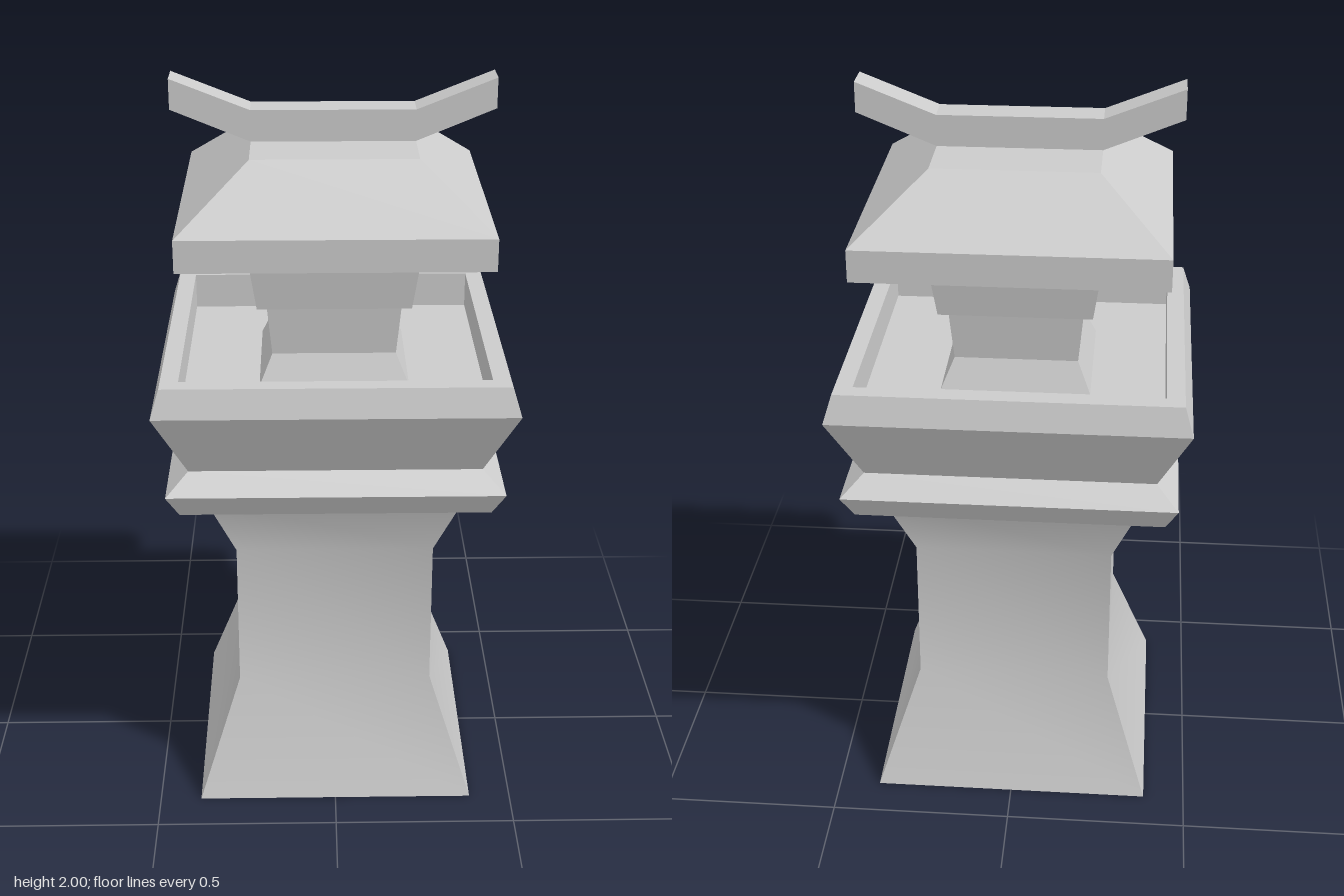
import * as THREE from 'three';
import { mergeGeometries } from 'three/addons/utils/BufferGeometryUtils.js';

const material = new THREE.MeshStandardMaterial({ color: 0xcccccc });

// Square tower section: profile is [half width, height] pairs, listed so that the outside goes bottom to top.
// Each of the four sides is its own strip, so corners stay sharp.
function squareTier(name, profile, smooth = false) {
  const points = profile.map(([half, y]) => new THREE.Vector2(half * Math.SQRT2, y));
  const sides = [];
  for (let i = 0; i < 4; i++) {
    const strip = new THREE.LatheGeometry(points, 1, Math.PI / 4 + i * Math.PI / 2, Math.PI / 2);
    const side = smooth ? strip : strip.toNonIndexed();
    side.computeVertexNormals();
    sides.push(side);
  }
  const mesh = new THREE.Mesh(mergeGeometries(sides), material);
  mesh.name = name;
  return mesh;
}

export function createModel() {
  const group = new THREE.Group();
  group.name = 'watchtower';

  // Shaft, softly shaded along its height, with a flat underside
  group.add(squareTier('shaft', [[0.385, 0], [0.27, 0.335], [0.27, 0.75], [0.345, 0.94]], true));
  group.add(squareTier('shaftBase', [[0, 0], [0.385, 0]]));

  // Ledge moulding and the hollow balcony with its parapet
  group.add(squareTier('balcony', [
    [0, 0.935], [0.41, 0.935], [0.443, 1.0], [0.385, 1.05],
    [0.47, 1.235], [0.447, 1.31], [0.4, 1.31], [0.4, 1.21], [0, 1.21],
  ]));

  // Neck with a flared foot, and the cabin above it
  group.add(squareTier('neck', [[0.2, 1.21], [0.165, 1.29], [0.178, 1.43]]));
  group.add(squareTier('cabin', [[0, 1.43], [0.203, 1.43], [0.228, 1.6]]));

  // Hipped roof with thick eaves
  group.add(squareTier('roof', [
    [0, 1.6], [0.4, 1.6], [0.4, 1.685], [0.215, 1.835], [0, 1.835],
  ]));

  // Ridge beam with upturned ends
  const outline = [
    [-0.21, 1.833], [0.21, 1.833], [0.423, 1.92], [0.423, 2],
    [0.215, 1.918], [-0.215, 1.918], [-0.423, 2], [-0.423, 1.92],
  ].map(([x, y]) => new THREE.Vector2(x, y));
  const beam = new THREE.ExtrudeGeometry(new THREE.Shape(outline), { depth: 0.09, bevelEnabled: false });
  beam.translate(0, 0, -0.045);
  const ridge = new THREE.Mesh(beam, material);
  ridge.name = 'ridgeBeam';
  group.add(ridge);

  return group;
}
